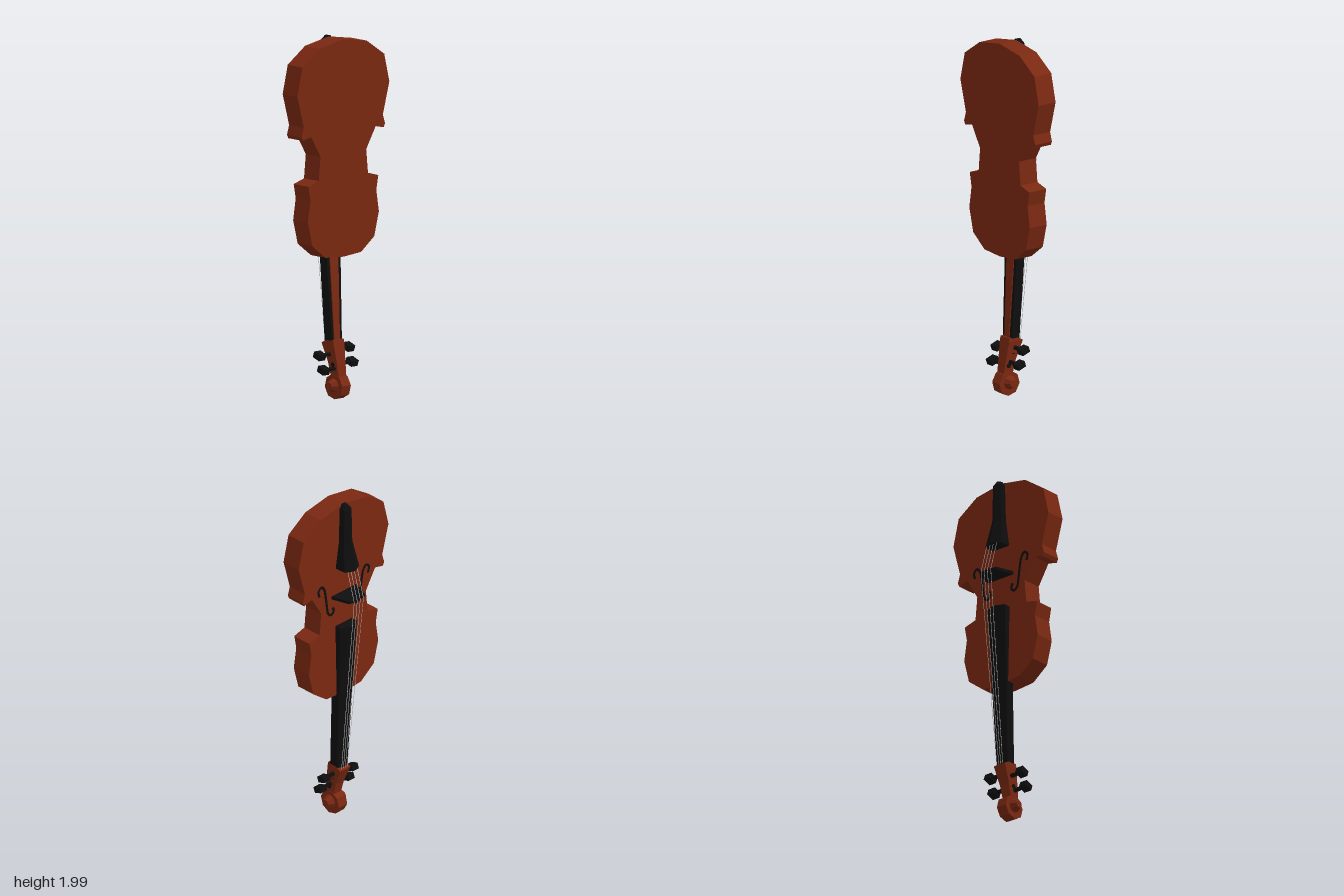
import * as THREE from 'three';

const mat = (name, color) => {
  const m = new THREE.MeshStandardMaterial({ color, flatShading: true });
  m.name = name;
  return m;
};

export function createModel() {
  const model = new THREE.Group();
  model.name = 'violin';
  const wood = mat('reddish wood', 0x7a2811);
  const ebony = mat('ebony', 0x0e0e0e);
  const steel = mat('string steel', 0xb4b4b4);

  const add = (name, geo, material, parent = model) => {
    const mesh = new THREE.Mesh(geo, material);
    mesh.name = name;
    parent.add(mesh);
    return mesh;
  };

  // Stacks five-sided sections upwards: [y, backX, shoulderX, crownX, backHalfWidth, shoulderHalfWidth]
  const loft = (sections) => {
    const pos = [], idx = [], n = 5;
    for (const [y, xb, xs, xf, wb, ws] of sections) {
      pos.push(xb, y, wb, xb, y, -wb, xs, y, -ws, xf, y, 0, xs, y, ws);
    }
    for (let s = 0; s < sections.length - 1; s++) {
      for (let i = 0; i < n; i++) {
        const a = s * n + i, b = s * n + (i + 1) % n;
        idx.push(a, b, b + n, a, b + n, a + n);
      }
    }
    const t = (sections.length - 1) * n;
    for (let i = 1; i < n - 1; i++) idx.push(0, i + 1, i, t, t + i, t + i + 1);
    const g = new THREE.BufferGeometry();
    g.setAttribute('position', new THREE.Float32BufferAttribute(pos, 3));
    g.setIndex(idx);
    const flat = g.toNonIndexed();
    flat.computeVertexNormals();
    return flat;
  };

  // Body: mirrored half outline, extruded through its thickness
  const half = [[0, 0.79], [0.132, 0.8], [0.23, 0.875], [0.264, 1.008], [0.245, 1.128], [0.26, 1.208],
    [0.183, 1.23], [0.17, 1.362], [0.24, 1.48], [0.3, 1.466], [0.31, 1.487], [0.294, 1.538],
    [0.342, 1.715], [0.304, 1.872], [0.175, 1.96], [0, 1.99]];
  const outline = [...half, ...half.slice(1, -1).reverse().map(([z, y]) => [-z, y])]
    .map(([z, y]) => new THREE.Vector2(z, y));
  const body = new THREE.ExtrudeGeometry(new THREE.Shape(outline), { depth: 0.117, bevelEnabled: false });
  body.rotateY(Math.PI / 2).translate(-0.01, 0, 0);
  add('body', body, wood);

  // Sound holes: flattened curls on the face
  for (const side of [-1, 1]) {
    const curve = new THREE.CatmullRomCurve3([[0.185, 1.475], [0.192, 1.51], [0.17, 1.53], [0.148, 1.505],
      [0.138, 1.46], [0.128, 1.39], [0.118, 1.34], [0.095, 1.322], [0.075, 1.342], [0.085, 1.368]]
      .map(([z, y]) => new THREE.Vector3(0, y, z * side)));
    const hole = add('soundHole', new THREE.TubeGeometry(curve, 32, 0.008, 6), ebony);
    hole.scale.x = 0.3;
    hole.position.x = -0.011;
  }

  // Fingerboard, neck back, tailpiece and bridge
  add('fingerboard', loft([
    [0.31, 0.055, 0.0, -0.013, 0.038, 0.038],
    [0.79, 0.029, -0.025, -0.046, 0.052, 0.052],
    [1.237, 0.006, -0.05, -0.077, 0.062, 0.062]]), ebony);
  add('neck', loft([
    [0.3, 0.06, 0.03, 0.02, 0.02, 0.025],
    [0.8, 0.033, 0.01, 0, 0.032, 0.035]]), wood);
  add('tailpiece', loft([
    [1.602, -0.008, -0.075, -0.103, 0.06, 0.055],
    [1.76, -0.008, -0.045, -0.062, 0.036, 0.032],
    [1.97, -0.008, -0.045, -0.06, 0.03, 0.026],
    [1.995, -0.008, -0.03, -0.038, 0.012, 0.01]]), ebony);
  add('bridge', loft([
    [1.421, -0.008, -0.115, -0.128, 0.093, 0.06],
    [1.438, -0.008, -0.115, -0.128, 0.093, 0.06]]), ebony);

  // Strings: tailpiece, over the bridge, to the pegbox
  const stringRun = (a, b) => {
    const d = new THREE.Vector3().subVectors(b, a);
    const run = add('string', new THREE.BoxGeometry(0.001, d.length(), 0.003), steel);
    run.position.addVectors(a, b).multiplyScalar(0.5);
    run.quaternion.setFromUnitVectors(new THREE.Vector3(0, 1, 0), d.normalize());
  };
  for (const z of [-0.038, -0.015, 0.008, 0.032]) {
    const path = [[-0.08, 1.61, 1], [-0.131, 1.43, 1], [-0.018, 0.31, 0.6], [0.03, 0.22, 0.4]]
      .map(([x, y, k]) => new THREE.Vector3(x, y, z * k));
    for (let i = 0; i < 3; i++) stringRun(path[i], path[i + 1]);
  }

  // Pegbox
  add('pegbox', loft([
    [0.11, 0.102, 0.042, 0.04, 0.028, 0.028],
    [0.2, 0.09, 0.02, 0.018, 0.032, 0.032],
    [0.305, 0.073, -0.023, -0.026, 0.04, 0.04],
    [0.328, 0.069, 0.02, 0.01, 0.038, 0.038]]), wood);

  // Scroll: eight-sided disc with tapering hubs
  const scroll = new THREE.Group();
  scroll.name = 'scroll';
  scroll.position.set(0.063, 0.072, 0);
  model.add(scroll);
  const disc = new THREE.CylinderGeometry(0.07, 0.07, 0.064, 8);
  disc.rotateX(Math.PI / 2).rotateZ(0.12);
  add('scrollDisc', disc, wood, scroll);
  for (const side of [-1, 1]) {
    const hub = new THREE.CylinderGeometry(0.022, 0.04, 0.036, 8);
    hub.rotateX(side * Math.PI / 2).translate(0, 0.006, side * 0.05);
    add('scrollHub', hub, wood, scroll);
  }

  // Tuning pegs: shaft and square knob, alternating sides
  for (const [x, y, side] of [[0.036, 0.247, 1], [0.03, 0.27, -1], [0.068, 0.172, 1], [0.058, 0.192, -1]]) {
    const peg = new THREE.Group();
    peg.name = 'tuningPeg';
    peg.position.set(x, y, 0);
    peg.rotation.z = -0.35;
    model.add(peg);
    const shaft = new THREE.CylinderGeometry(0.011, 0.014, 0.13, 6);
    shaft.rotateX(side * Math.PI / 2).translate(0, 0, side * 0.03);
    add('pegShaft', shaft, ebony, peg);
    const knob = new THREE.BoxGeometry(0.052, 0.034, 0.046);
    knob.translate(0, 0, side * 0.11);
    add('pegKnob', knob, ebony, peg);
  }
  return model;
}
